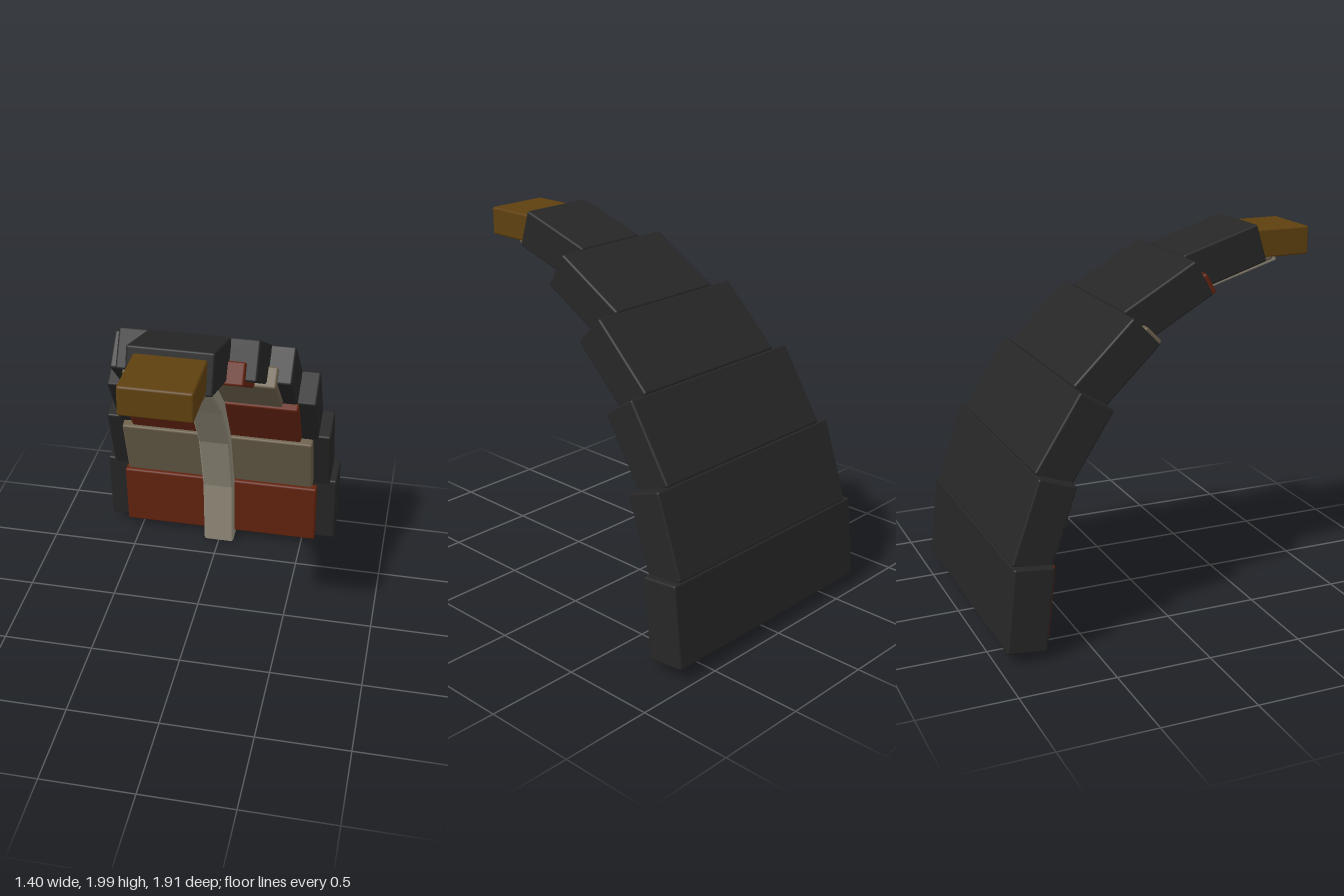
import * as THREE from 'three';
import { RoundedBoxGeometry } from 'three/addons/geometries/RoundedBoxGeometry.js';

const mat = (name, color) => new THREE.MeshStandardMaterial({ name, color });

export function createModel() {
  const dark = mat('charcoal', 0x262626);
  const red = mat('rust red', 0x64230f);
  const tan = mat('tan', 0x6a5e4a);
  const bone = mat('bone grey', 0x948d7c);
  const gold = mat('dark gold', 0x5f400f);

  const model = new THREE.Group();
  model.name = 'curvedTail';

  const addBox = (parent, name, material, size, pos) => {
    const mesh = new THREE.Mesh(new RoundedBoxGeometry(...size, 2, 0.012), material);
    mesh.name = name;
    mesh.position.set(...pos);
    parent.add(mesh);
  };

  // Outer back curve as [z, y], one shell plate between each pair of points
  const back = [[-0.955, 0.07], [-0.907, 0.515], [-0.757, 0.945], [-0.513, 1.327],
    [-0.19, 1.64], [0.205, 1.867], [0.63, 2.0]];
  // Per plate: half width of shell, half width of panel, panel slide along plate, panel projection
  const plates = [
    [0.70, 0.585, -0.015, 0.05], [0.66, 0.56, 0.003, 0.05], [0.59, 0.495, 0.021, 0.043],
    [0.487, 0.41, 0.054, 0.035], [0.358, 0.30, 0.07, 0.027], [0.212, 0.175, 0.08, 0.015],
  ];
  const depth = 0.21, panelDepth = 0.12;

  plates.forEach(([w, pw, slide, proud], i) => {
    const [z0, y0] = back[i], [z1, y1] = back[i + 1];
    const segment = new THREE.Group();
    segment.name = `segment${i + 1}`;
    segment.position.set(0, (y0 + y1) / 2, (z0 + z1) / 2);
    segment.rotation.x = Math.atan2(z1 - z0, y1 - y0);
    const length = Math.hypot(z1 - z0, y1 - y0);
    addBox(segment, 'shellPlate', dark, [w * 2, length, depth], [0, 0, depth / 2]);
    addBox(segment, 'innerPanel', i % 2 ? tan : red, [pw * 2, 0.395, panelDepth],
      [0, slide, depth + proud - panelDepth / 2]);
    model.add(segment);
  });

  // Central rib: inner curve offset outward by its thickness, extruded across x
  const inner = [[-0.645, 0.005], [-0.60, 0.435], [-0.46, 0.825], [-0.23, 1.16],
    [0.06, 1.435], [0.405, 1.65], [0.82, 1.775]].map(p => new THREE.Vector2(...p));
  const thickness = 0.16;
  const outer = inner.map((p, i) => {
    const a = inner[Math.max(i - 1, 0)], b = inner[Math.min(i + 1, inner.length - 1)];
    const t = b.clone().sub(a).normalize();
    return new THREE.Vector2(p.x - t.y * thickness, p.y + t.x * thickness);
  });
  const ribGeo = new THREE.ExtrudeGeometry(new THREE.Shape([...inner, ...outer.reverse()]), {
    depth: 0.164, bevelThickness: 0.008, bevelSize: 0.008, bevelOffset: -0.008, bevelSegments: 1,
  });
  ribGeo.translate(0, 0, -0.082).rotateY(-Math.PI / 2);
  const rib = new THREE.Mesh(ribGeo, bone);
  rib.name = 'centralRib';
  model.add(rib);

  // Block at the tip
  addBox(model, 'tipBlock', gold, [0.356, 0.153, 0.38], [0, 1.888, 0.77]);

  return model;
}
